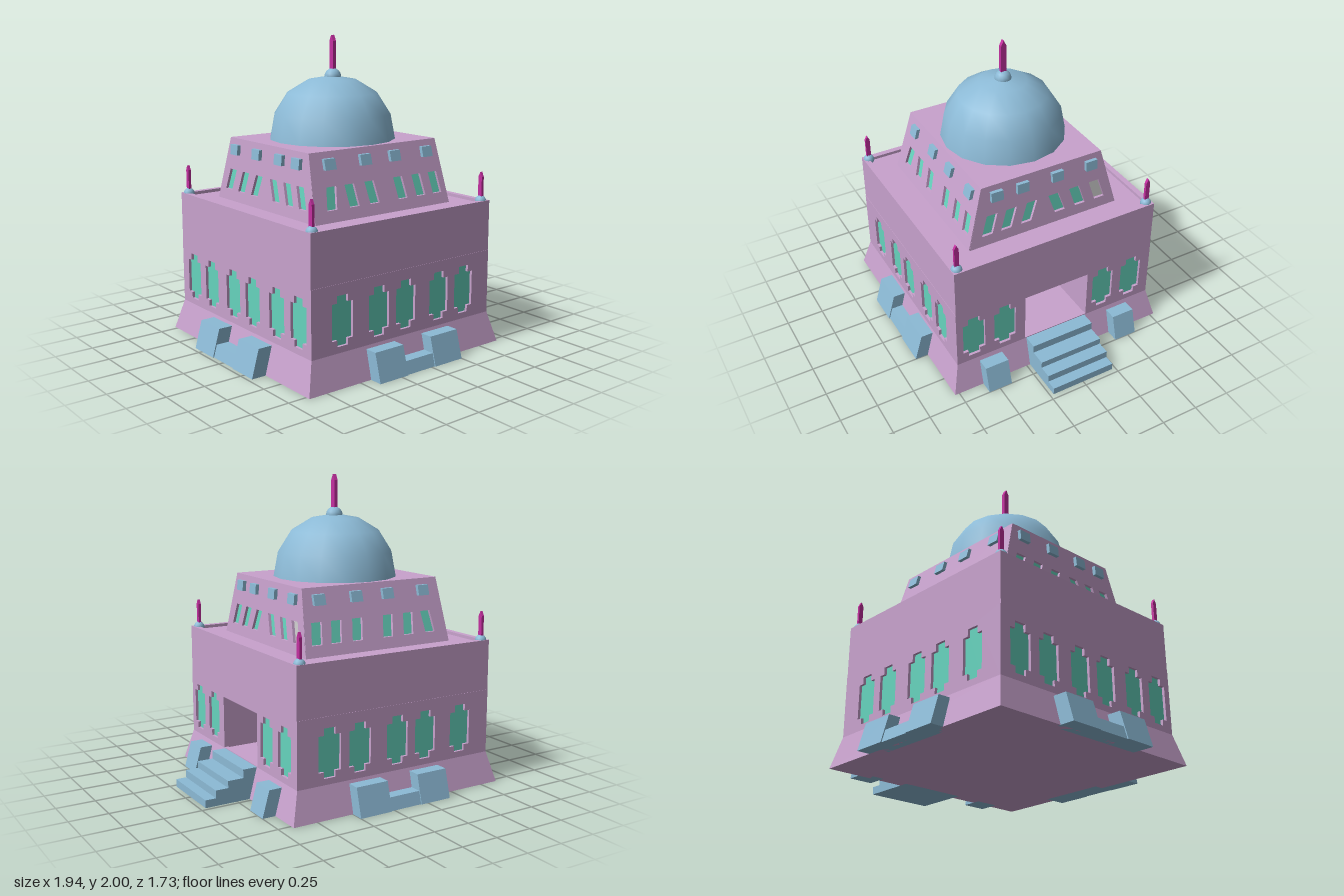
import * as THREE from 'three';

const mat = (color, extra = {}) => new THREE.MeshStandardMaterial({ color, ...extra });
const PINK = mat(0xc8a2cd), BLUE = mat(0x8cbad6), SPIRE = mat(0xc42fa0);
const TEAL = mat(0x66d4be, { side: THREE.DoubleSide }), GREY = mat(0xcccccc, { side: THREE.DoubleSide });

const add = (parent, name, geo, material) => {
  const m = new THREE.Mesh(geo, material);
  m.name = name;
  parent.add(m);
  return m;
};
const poly = pts => pts.map(p => new THREE.Vector2(...p));
// box given by its limits
const box = (x0, x1, y0, y1, z0, z1) =>
  new THREE.BoxGeometry(x1 - x0, y1 - y0, z1 - z0).translate((x0 + x1) / 2, (y0 + y1) / 2, (z0 + z1) / 2);
// lean a geometry inward: z falls by slope for each unit above y0
const lean = (geo, slope, y0 = 0) => {
  const p = geo.attributes.position;
  for (let i = 0; i < p.count; i++) p.setZ(i, p.getZ(i) - slope * (p.getY(i) - y0));
  geo.computeVertexNormals();
  return geo;
};
// box narrowing from bottom half sizes to top half sizes
const frustum = (bx, bz, tx, tz, y0, y1) => {
  const g = box(-1, 1, y0, y1, -1, 1), p = g.attributes.position;
  for (let i = 0; i < p.count; i++) {
    const top = p.getY(i) > (y0 + y1) / 2;
    p.setX(i, p.getX(i) * (top ? tx : bx));
    p.setZ(i, p.getZ(i) * (top ? tz : bz));
  }
  g.computeVertexNormals();
  return g;
};

// stepped lower window outline
const lowerWindow = u => poly([
  [u - .078, .28], [u - .04, .28], [u - .04, .24], [u + .04, .24], [u + .04, .28], [u + .078, .28],
  [u + .078, .505], [u + .04, .505], [u + .04, .55], [u - .04, .55], [u - .04, .505], [u - .078, .505]]);
// leaning upper window outline
const upperWindow = (u, skew) => {
  const w = .037, s = skew / 2;
  return poly([[u - w - s, 1], [u + w - s, 1], [u + w + s, 1.135], [u - w + s, 1.135]]);
};

// wall with recessed window panes; outline and windows lie in the face plane
function wall(face, name, outline, windows, extraHoles, dist, slope, y0, greyIndex = -1) {
  const shape = new THREE.Shape(poly(outline));
  for (const h of [...windows, ...extraHoles]) shape.holes.push(new THREE.Path(h));
  const depth = .03;
  const geo = new THREE.ExtrudeGeometry(shape, { depth, bevelEnabled: false }).translate(0, 0, dist - depth);
  add(face, name, lean(geo, slope, y0), PINK);
  windows.forEach((w, i) => {
    const pane = new THREE.ShapeGeometry(new THREE.Shape(w)).translate(0, 0, dist - .018);
    add(face, name + 'Window', lean(pane, slope, y0), i === greyIndex ? GREY : TEAL);
  });
}

// flat pointed spire on a small dome
function finial(parent, name, x, y, z, r, top, hw, thick) {
  const g = new THREE.Group();
  g.name = name;
  g.position.set(x, y, z);
  parent.add(g);
  add(g, 'finialBall', new THREE.SphereGeometry(r, 12, 8), BLUE);
  const h = top - y, s = new THREE.Shape(poly([[-hw, 0], [hw, 0], [hw, h - hw * 2], [0, h], [-hw, h - hw * 2]]));
  const geo = new THREE.ExtrudeGeometry(s, { depth: thick, bevelEnabled: false });
  add(g, 'spire', geo.translate(0, 0, -thick / 2).rotateY(Math.PI / 2), SPIRE);
}

export function createModel() {
  const model = new THREE.Group();
  const b = new THREE.Group();
  b.name = 'building';
  b.position.x = -.107;
  model.add(b);

  // plinth, upper storey and roof rim
  add(b, 'plinth', frustum(.77, .78, .717, .73, 0, .2), PINK);
  add(b, 'upperStorey', box(-.717, .717, .62, .93, -.728, .728), PINK);
  const rect = (x, z) => poly([[-x, -z], [x, -z], [x, z], [-x, z]]);
  const rim = new THREE.Shape(rect(.717, .728));
  rim.holes.push(new THREE.Path(rect(.678, .69)));
  add(b, 'roofRim', new THREE.ExtrudeGeometry(rim, { depth: .02, bevelEnabled: false })
    .rotateX(-Math.PI / 2).translate(0, .93, 0), PINK);

  // per-side layouts (positions along the face)
  const long = {
    half: .717, dist: .73, tb: .54, tt: .505, td: .533, td1: .428,
    low: [-.49, -.213, .001, .277, .493],
    up: [[-.391, .02], [-.237, -.016], [-.08, -.02], [.15, -.018], [.303, -.018], [.443, -.016]],
    blocks: [-.377, -.102, .134, .403], bench: [-.313, -.093, .132, .357],
  };
  const short = {
    half: .73, dist: .717, tb: .533, tt: .428, td: .54, td1: .505,
    low: [-.606, -.384, -.124, .098, .357, .58],
    up: [[-.385, .042], [-.25, .045], [-.106, .048], [.095, -.045], [.247, -.042], [.394, -.042]],
    blocks: [-.33, -.15, .098, .347], bench: [-.335, -.115, .115, .335],
  };
  const sides = [
    ['front', 0, long, 1], ['right', Math.PI / 2, short, 1],
    ['back', Math.PI, long, -1], ['left', -Math.PI / 2, short, -1]];

  for (const [name, angle, L, m] of sides) {
    const face = new THREE.Group();
    face.name = name + 'Side';
    face.rotation.y = angle;
    b.add(face);
    const entrance = name === 'right';

    // lower storey wall, with a doorway on the entrance side
    const low = L.low.filter(u => !entrance || Math.abs(u) > .2).map(u => lowerWindow(u * m));
    const door = entrance ? [poly([[-.235, .205], [.235, .205], [.235, .55], [-.235, .55]])] : [];
    wall(face, 'lowerWall', [[-L.half, .2], [L.half, .2], [L.half, .62], [-L.half, .62]], low, door, L.dist, 0, 0);

    // sloped tier under the dome
    const slope = (L.td - L.td1) / .39;
    wall(face, 'tierWall', [[-L.tb, .93], [L.tb, .93], [L.tt, 1.34], [-L.tt, 1.34]],
      L.up.map(([u, s]) => upperWindow(u * m, s * m)), [], L.td, slope, .95, entrance ? 5 : -1);
    for (const u of L.blocks)
      add(face, 'tierBlock', lean(box(u * m - .041, u * m + .041, 1.235, 1.3, L.td - .01, L.td + .024), slope, .95), BLUE);

    // buttress blocks at the foot, joined by a low block where there is no stair
    const foot = (u0, u1, h, z) =>
      add(face, 'footBlock', lean(box(Math.min(u0, u1), Math.max(u0, u1), 0, h, .72, z), .28), BLUE);
    if (entrance) {
      foot(-.575, -.412, .17, .857);
      foot(.4, .56, .17, .857);
    } else {
      const c = L.bench.map(u => u * m);
      foot(c[0], c[1], .18, .867);
      foot(c[1], c[2], .08, .86);
      foot(c[2], c[3], .18, .867);
    }

    if (entrance) {
      // entrance recess
      const zb = .36;
      for (const s of [-1, 1])
        add(face, 'recessWall', box(s * .245 - .01, s * .245 + .01, .2, .57, zb, .7), PINK);
      add(face, 'recessCeiling', box(-.235, .235, .55, .57, zb, .7), PINK);
      add(face, 'recessBack', box(-.255, .255, .2, .57, zb - .02, zb), PINK);
      for (const u of [-.124, .098])
        add(face, 'recessWindow', new THREE.ShapeGeometry(new THREE.Shape(lowerWindow(u))).translate(0, 0, zb + .004), TEAL);
      // stair flight
      [[.2, .812], [.145, .917], [.1, 1.002], [.05, 1.072]].forEach(([h, z]) =>
        add(face, 'step', box(-.225, .225, 0, h, .712, z), BLUE));
    }
  }
  add(b, 'tierRoof', box(-.503, .503, 1.32, 1.34, -.427, .427), PINK);

  // dome
  const profile = poly([[.408, 1.34], [.378, 1.5], [.292, 1.635], [.155, 1.718], [0, 1.745]]);
  add(b, 'dome', new THREE.LatheGeometry(profile, 16), BLUE);

  // finials on the dome and the four roof corners
  finial(b, 'domeFinial', .005, 1.735, 0, .055, 2, .019, .025);
  for (const x of [-.68, .675]) for (const z of [-.69, .69])
    finial(b, 'cornerFinial', x, .945, z, .037, 1.135, .015, .018);
  return model;
}
